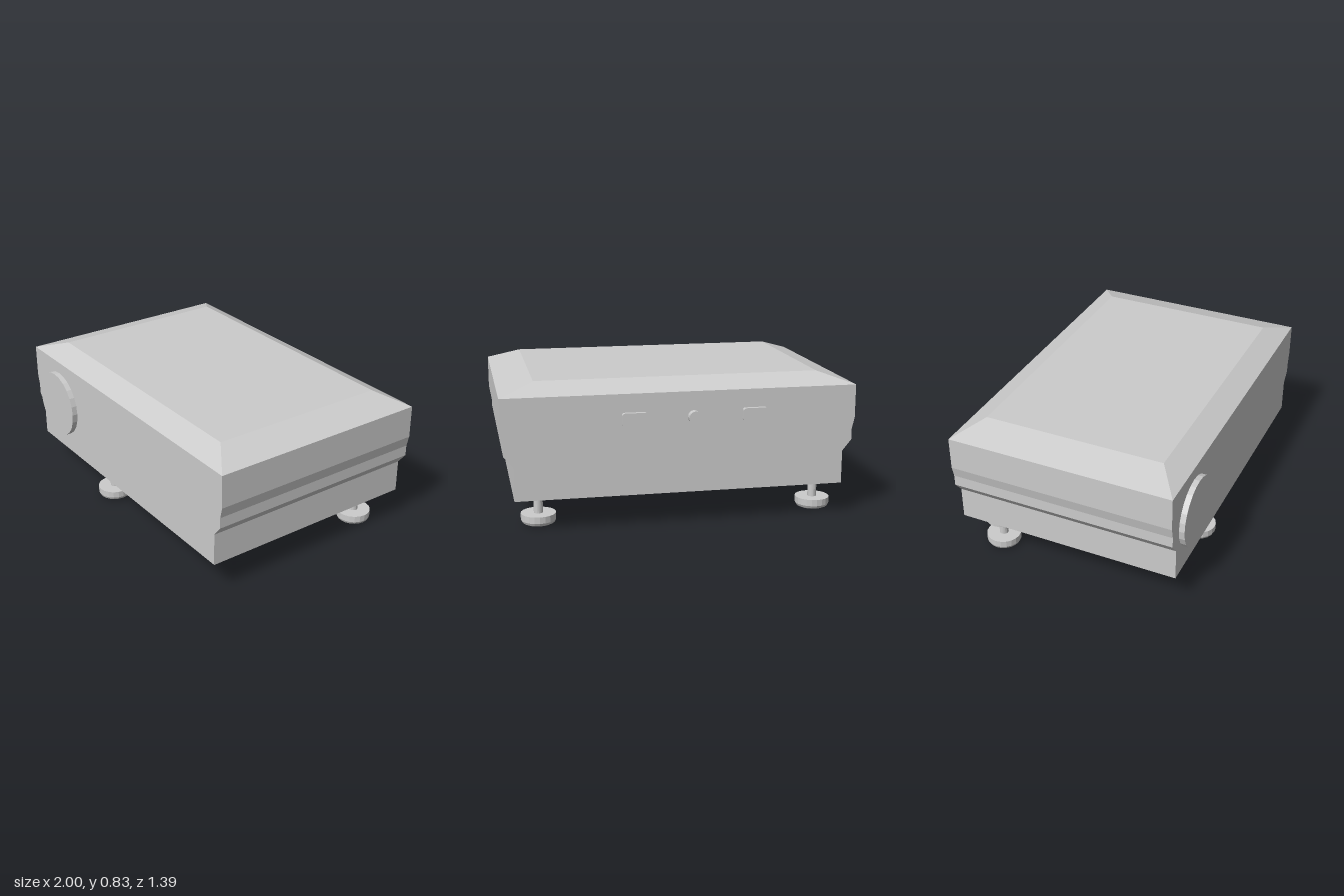
import * as THREE from 'three';

const material = new THREE.MeshStandardMaterial({ color: 0xcccccc, flatShading: true });

function addMesh(parent, name, geometry, x = 0, y = 0, z = 0) {
  const mesh = new THREE.Mesh(geometry, material);
  mesh.name = name;
  mesh.position.set(x, y, z);
  parent.add(mesh);
  return mesh;
}

// Stack of rectangular rings [y, half width, back z, front z], capped at both ends
function loftRings(rings) {
  const positions = [];
  const corners = rings.map(([y, w, b, f]) => [[-w, y, f], [w, y, f], [w, y, b], [-w, y, b]]);
  const quad = (a, b, c, d) => positions.push(...a, ...b, ...c, ...a, ...c, ...d);
  for (let i = 0; i < corners.length - 1; i++) {
    const lo = corners[i], hi = corners[i + 1];
    for (let k = 0; k < 4; k++) {
      const n = (k + 1) % 4;
      quad(lo[k], lo[n], hi[n], hi[k]);
    }
  }
  const first = corners[0], last = corners[corners.length - 1];
  quad(last[0], last[1], last[2], last[3]);
  quad(first[3], first[2], first[1], first[0]);
  const geometry = new THREE.BufferGeometry();
  geometry.setAttribute('position', new THREE.Float32BufferAttribute(positions, 3));
  geometry.computeVertexNormals();
  return geometry;
}

// Flat button with rounded corners, extruded along z
function buttonGeometry(w, h, r, depth) {
  const x = w / 2, y = h / 2;
  const s = new THREE.Shape();
  s.moveTo(-x + r, -y);
  s.lineTo(x - r, -y);
  s.absarc(x - r, -y + r, r, -Math.PI / 2, 0);
  s.absarc(x - r, y - r, r, 0, Math.PI / 2);
  s.absarc(-x + r, y - r, r, Math.PI / 2, Math.PI);
  s.absarc(-x + r, -y + r, r, Math.PI, Math.PI * 1.5);
  return new THREE.ExtrudeGeometry(s, { depth, bevelEnabled: false, curveSegments: 3 });
}

// Levelling foot: mounting plate, thin stem and a pad with a rounded underside
function createFoot(x, z) {
  const foot = new THREE.Group();
  foot.name = 'foot';
  foot.position.set(x, 0, z);
  addMesh(foot, 'footPlate', new THREE.CylinderGeometry(0.1, 0.1, 0.02, 20), 0, 0.18, 0);
  addMesh(foot, 'footStem', new THREE.CylinderGeometry(0.026, 0.026, 0.13, 16), 0, 0.115, 0);
  const profile = [[0, 0], [0.078, 0], [0.092, 0.007], [0.1, 0.022], [0.1, 0.06], [0, 0.06]]
    .map(([r, y]) => new THREE.Vector2(r, y));
  addMesh(foot, 'footPad', new THREE.LatheGeometry(profile, 20));
  return foot;
}

export function createModel() {
  const model = new THREE.Group();
  model.name = 'projector';
  const back = -0.657, front = 0.665;

  // Casing with stepped sides and a hipped lid
  addMesh(model, 'casing', loftRings([
    [0.19, 0.933, back, front],
    [0.38, 0.933, back, front],
    [0.445, 0.985, back, front],
    [0.508, 0.985, back, front],
    [0.572, 1, back, front],
    [0.763, 1, back, front],
    [0.827, 0.805, -0.525, 0.533],
  ]));

  // Round lens cover on the front
  const lens = addMesh(model, 'lensCover', new THREE.CylinderGeometry(0.202, 0.202, 0.05, 24), -0.7, 0.49, 0.672);
  lens.rotation.x = Math.PI / 2;

  // Rear controls: two buttons and a round knob
  for (const x of [-0.41, 0.27])
    addMesh(model, 'rearButton', buttonGeometry(0.14, 0.076, 0.015, 0.04), x, 0.621, -0.681);
  const knob = addMesh(model, 'rearKnob', new THREE.CylinderGeometry(0.036, 0.036, 0.055, 16), -0.063, 0.621, -0.669);
  knob.rotation.x = Math.PI / 2;

  // Three feet: one at the front, two at the back
  for (const [x, z] of [[-0.28, 0.55], [-0.83, -0.46], [0.79, -0.46]]) model.add(createFoot(x, z));

  return model;
}
